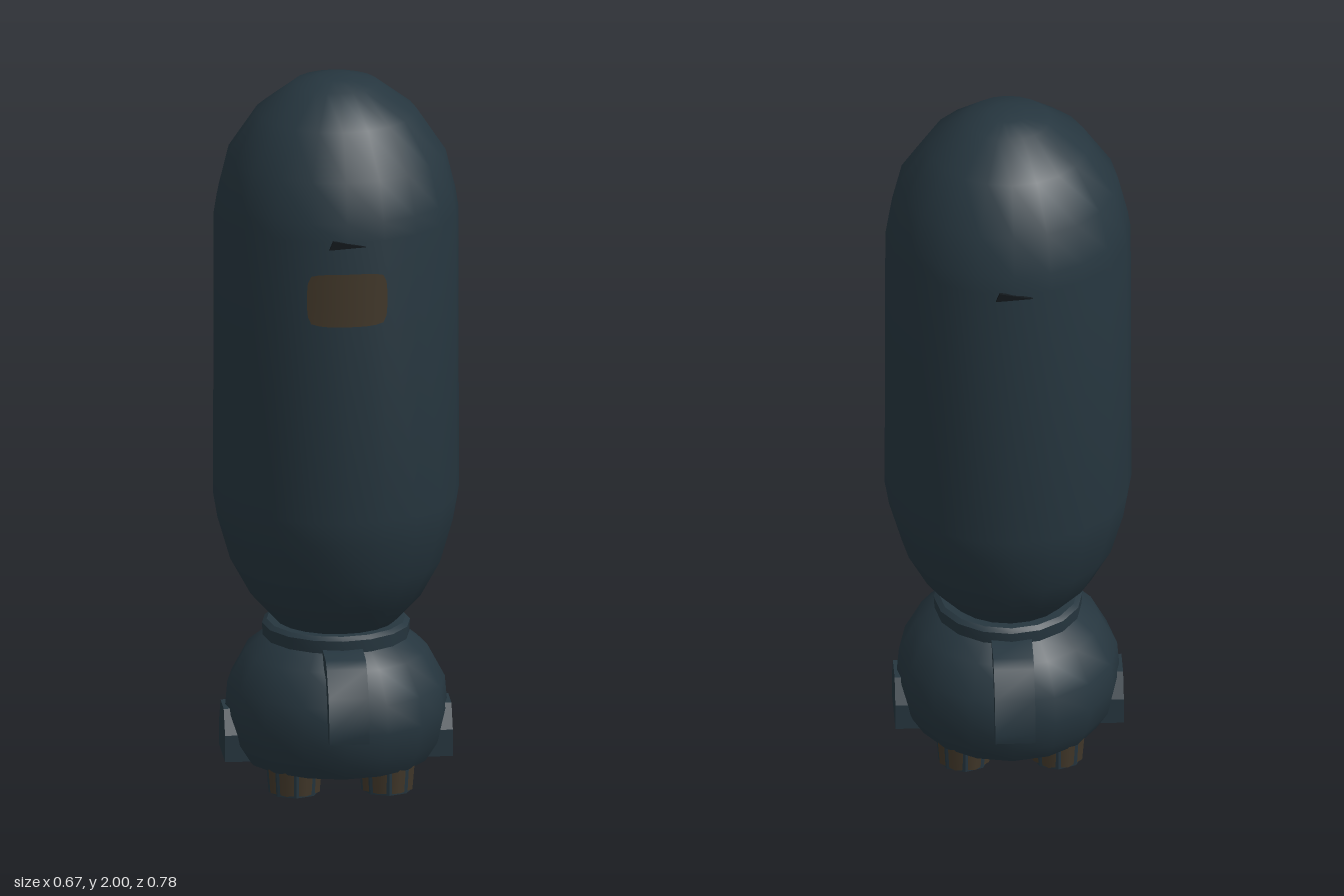
import * as THREE from 'three';
import { toCreasedNormals } from 'three/addons/utils/BufferGeometryUtils.js';

export function createModel() {
  const group = new THREE.Group();
  const mat = (name, color) => Object.assign(new THREE.MeshStandardMaterial({ color }), { name });
  const slate = mat('dark slate', 0x26363f);
  const brown = mat('dark brown', 0x42382a);
  const dark = mat('near black', 0x12181c);
  const add = (name, geo, material) => {
    const mesh = new THREE.Mesh(geo, material);
    mesh.name = name;
    group.add(mesh);
    return mesh;
  };
  const lathe = (pts, sides, crease = 0.6) => toCreasedNormals(
    new THREE.LatheGeometry(pts.map(([r, y]) => new THREE.Vector2(r, y)), sides), crease);
  const extrude = (pts, depth) => new THREE.ExtrudeGeometry(
    new THREE.Shape(pts.map(([x, y]) => new THREE.Vector2(x, y))), { depth, bevelEnabled: false });

  // Tall capsule body
  add('body', lathe([[0, 0.44], [0.16, 0.45], [0.235, 0.53], [0.29, 0.63], [0.325, 0.75], [0.337, 0.82],
    [0.335, 1.62], [0.327, 1.67], [0.3, 1.78], [0.22, 1.9], [0.115, 1.98], [0.05, 1.998], [0, 2]], 20), slate);

  // Collar and rounded base
  add('collar', lathe([[0, 0.4], [0.2, 0.4], [0.203, 0.445], [0.19, 0.455], [0, 0.455]], 16), slate);
  add('base', lathe([[0, 0.068], [0.255, 0.068], [0.288, 0.12], [0.305, 0.2], [0.298, 0.28],
    [0.25, 0.37], [0.2, 0.41], [0, 0.41]], 16), slate);

  // Front label, wrapped around the body with softened corners
  const label = new THREE.PlaneGeometry(0.22, 0.15, 8, 6);
  const p = label.attributes.position;
  for (let i = 0; i < p.count; i++) {
    const u = p.getX(i) / 0.11, v = p.getY(i) / 0.075;
    const x = p.getX(i) * (1 - 0.1 * v ** 4 * u * u);
    const y = p.getY(i) * (1 - 0.1 * u ** 4 * v * v) + 1.457;
    p.setXYZ(i, x, y, Math.sqrt(0.339 ** 2 - x * x));
  }
  label.computeVertexNormals();
  add('label', label, brown);

  // Small slit marks and curved straps, front and back
  const strap = [[0.17, 0.375], [0.217, 0.38], [0.28, 0.365], [0.305, 0.335], [0.328, 0.28], [0.355, 0.206],
    [0.385, 0.206], [0.39, 0.235], [0.363, 0.33], [0.31, 0.397], [0.28, 0.415], [0.17, 0.42]];
  for (const s of [1, -1]) {
    const turn = s > 0 ? 0 : Math.PI;
    const slit = add('slit', extrude([[-0.05, 1.602], [0.05, 1.609], [-0.04, 1.627]], 0.008), dark);
    slit.position.z = s * 0.331;
    slit.rotation.y = turn;

    const arm = add('strap', toCreasedNormals(extrude(strap, 0.11).translate(0, 0, -0.055).rotateY(-Math.PI / 2), 0.6), slate);
    arm.rotation.y = turn;

    // Side hatch with a chamfered top
    const hatch = add('hatch', extrude([[-0.085, 0.075], [0.085, 0.075], [0.085, 0.15], [0.045, 0.215],
      [-0.045, 0.215], [-0.085, 0.15]], 0.1).translate(0, 0, 0.212), slate);
    hatch.rotation.y = s * Math.PI / 2;
  }

  // Four stubby feet, brown on the face turned to front or back
  for (const sx of [1, -1]) for (const sz of [1, -1]) {
    const foot = add('foot', toCreasedNormals(new THREE.CylinderGeometry(0.077, 0.07, 0.09, 8), 0.5), slate);
    foot.position.set(sx * 0.127, 0.045, sz * 0.127);
    const patch = add('footPatch', new THREE.CylinderGeometry(0.08, 0.073, 0.08, 3, 1, true,
      (sz > 0 ? 0 : Math.PI) - Math.PI * 0.375, Math.PI * 0.75), brown);
    patch.position.set(sx * 0.127, 0.045, sz * 0.127);
  }
  return group;
}
